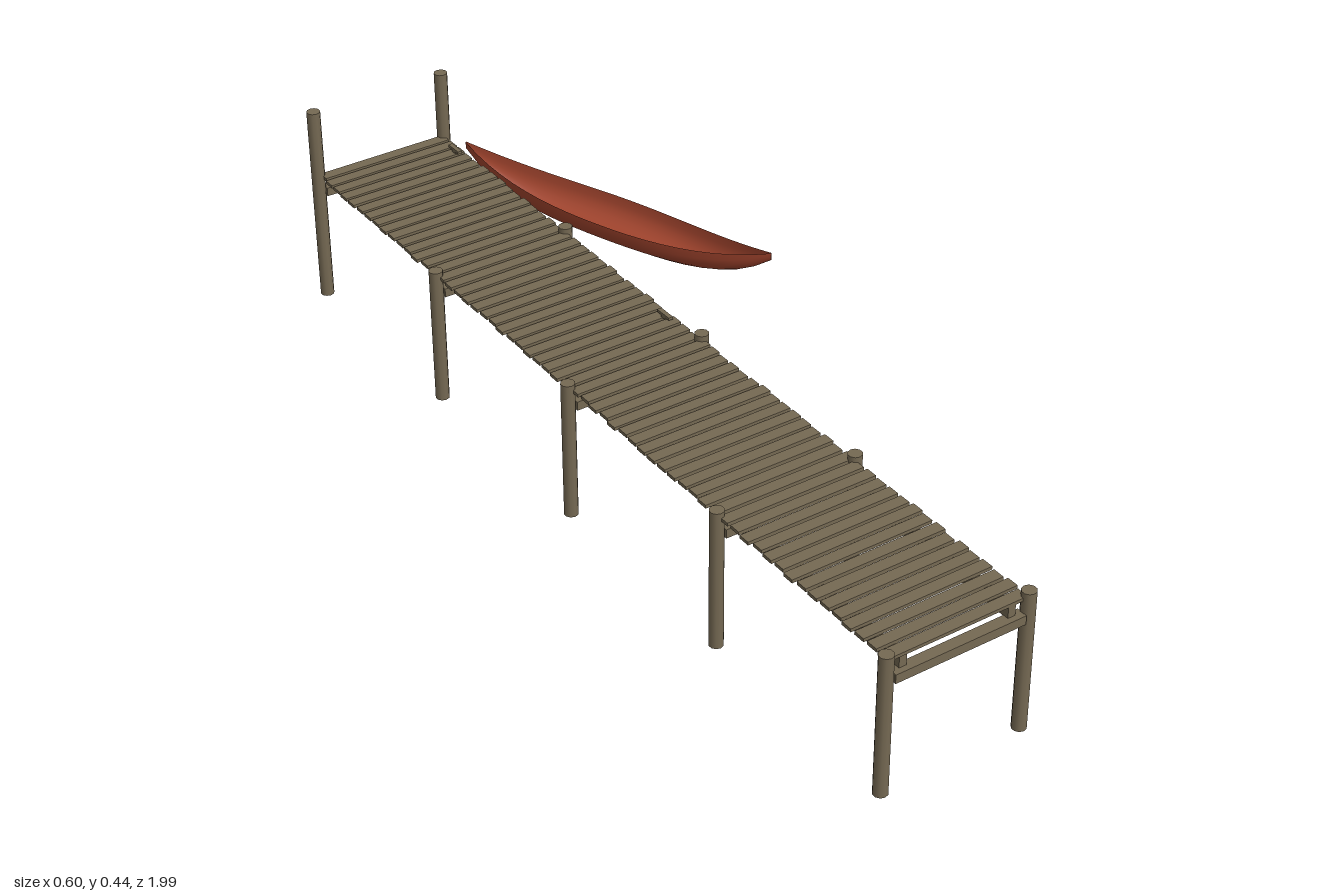
import * as THREE from 'three';

export function createModel() {
  const model = new THREE.Group();
  model.name = 'jettyWithCanoe';
  const wood = new THREE.MeshStandardMaterial({ color: 0x756953 });
  wood.name = 'weathered wood';
  const red = new THREE.MeshStandardMaterial({ color: 0xa3452e, side: THREE.DoubleSide });
  red.name = 'canoe red';

  let seed = 7;
  const rand = () => (seed = (seed * 16807) % 2147483647) / 2147483647 - 0.5;

  const add = (name, geometry, x, y, z, material = wood) => {
    const mesh = new THREE.Mesh(geometry, material);
    mesh.name = name;
    mesh.position.set(x, y, z);
    model.add(mesh);
    return mesh;
  };
  const box = (name, w, h, d, x, y, z) => add(name, new THREE.BoxGeometry(w, h, d), x, y, z);

  const leftX = 0.016, rightX = -0.29, midX = (leftX + rightX) / 2;

  // Piles and cross beams; the pair at the far end stands taller
  for (let i = 0; i < 5; i++) {
    const z = -0.98 + i * 0.49;
    const h = i === 0 ? 0.443 : 0.303;
    for (const x of [leftX, rightX]) {
      add('post', new THREE.CylinderGeometry(0.0145, 0.0145, h, 10), x, h / 2, z);
    }
    box('crossBeam', 0.281, 0.019, 0.024, midX, 0.251, z);
  }

  // Stringers carrying the deck
  for (const x of [-0.254, -0.02]) box('stringer', 0.016, 0.026, 1.96, x, 0.272, 0);

  // Deck planks, slightly uneven
  const count = 60, pitch = 1.97 / count;
  for (let i = 0; i < count; i++) {
    const z = -0.985 + (i + 0.5) * pitch;
    const plank = box('plank', 0.302 + rand() * 0.008, 0.007, 0.0255, midX + rand() * 0.005, 0.2885 + rand() * 0.001, z);
    plank.rotation.y = rand() * 0.006;
  }

  // Mooring cleats
  for (const z of [-0.9, -0.1]) {
    box('cleatFoot', 0.009, 0.007, 0.014, -0.002, 0.295, z);
    box('cleatBar', 0.01, 0.006, 0.04, -0.002, 0.3, z);
  }

  // Canoe hull: U sections lofted from tip to tip
  const along = 20, around = 12, halfLength = 0.396;
  const positions = [], index = [];
  for (let i = 0; i <= along; i++) {
    const t = -1 + (2 * i) / along;
    const halfWidth = 0.001 + 0.058 * Math.pow(1 - t * t, 0.95);
    const rim = 0.263 + 0.04 * Math.pow(Math.abs(t), 3);
    const keel = 0.205 + 0.082 * Math.pow(t, 4);
    for (let j = 0; j <= around; j++) {
      const a = -Math.PI / 2 + (Math.PI * j) / around;
      const drop = Math.pow(Math.max(0, Math.cos(a)), 0.85);
      positions.push(halfWidth * Math.sin(a), rim - (rim - keel) * drop, halfLength * t);
      if (i < along && j < around) {
        const p = i * (around + 1) + j, q = p + around + 1;
        index.push(p, p + 1, q, q, p + 1, q + 1);
      }
    }
  }
  const hull = new THREE.BufferGeometry();
  hull.setAttribute('position', new THREE.Float32BufferAttribute(positions, 3));
  hull.setIndex(index);
  hull.computeVertexNormals();
  add('canoeHull', hull, 0.165, 0, -0.537, red).rotation.y = Math.atan2(0.27, 0.745);

  return model;
}
